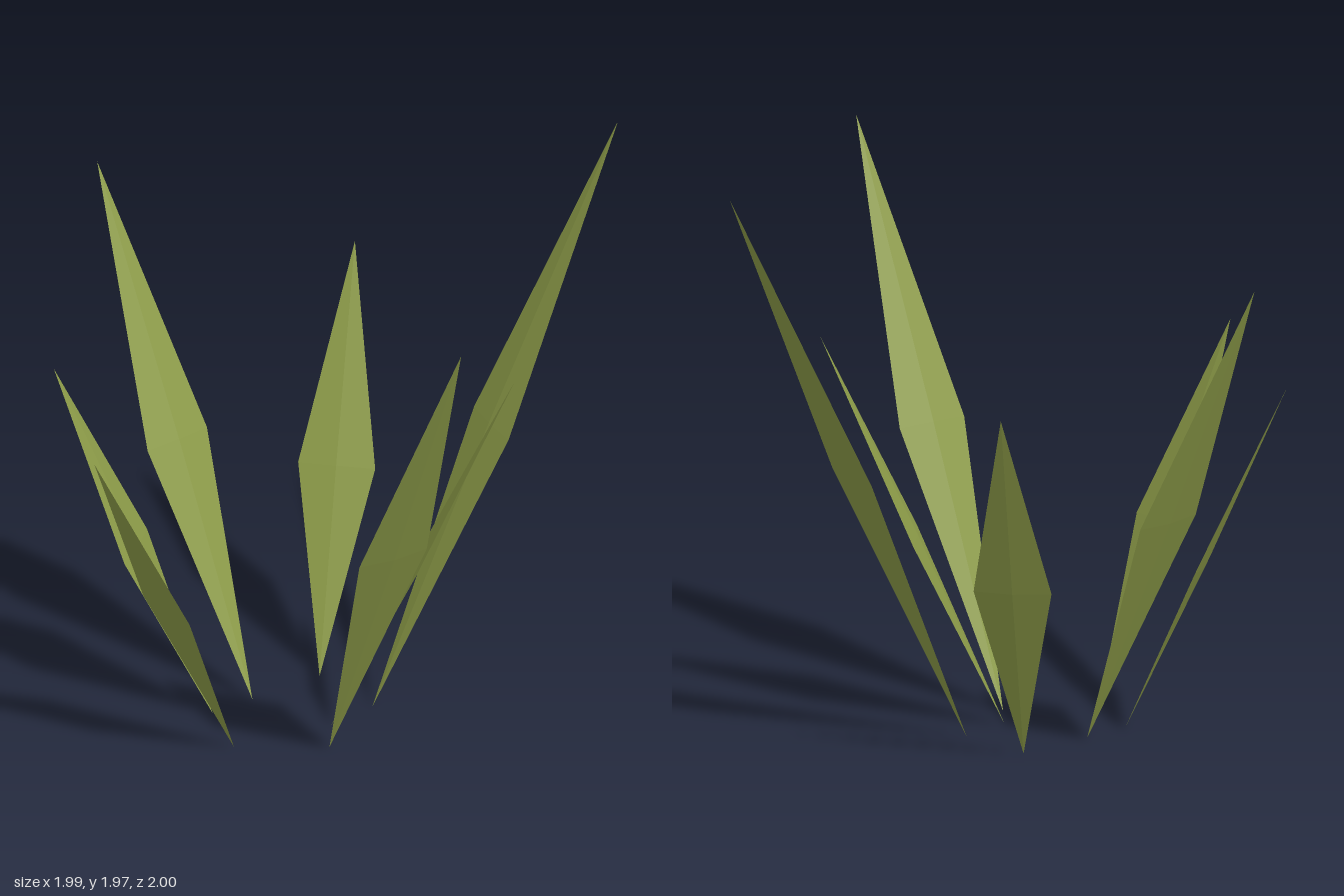
import * as THREE from 'three';

// Unit blade: flat lozenge from y = 0 to y = 1, widest just below the middle
function bladeGeometry(width, thickness, widest) {
  const geo = new THREE.OctahedronGeometry(1, 0);
  const p = geo.attributes.position;
  for (let i = 0; i < p.count; i++) {
    const y = p.getY(i);
    const h = y > 0.5 ? 1 : y < -0.5 ? 0 : widest;
    p.setXYZ(i, p.getX(i) * width / 2, h, p.getZ(i) * thickness / 2);
  }
  return geo;
}

export function createModel() {
  const group = new THREE.Group();
  group.name = 'grassTuft';
  const green = new THREE.MeshStandardMaterial({ color: 0x8c9b48, flatShading: true });
  green.name = 'leafGreen';

  // Root and tip of every blade
  const blades = [
    ['leftBlade', [0.09, 0, -0.03], [0.99, 1.97, -0.03]],
    ['rightBlade', [-0.44, 0, 0.02], [-1.0, 1.23, 0.12]],
    ['backRightBlade', [-0.4, 0, -0.22], [-0.8, 1.2, -0.59]],
    ['backBlade', [-0.24, 0, -0.25], [-0.44, 1.69, -1.0]],
    ['backLeftBlade', [0.03, 0, -0.3], [0.39, 1.31, -0.77]],
    ['frontLeftBlade', [-0.09, 0, 0.03], [0.42, 1.32, 0.36]],
    ['frontBlade', [-0.16, 0, 0.16], [-0.09, 1.84, 1.0]],
  ];
  const up = new THREE.Vector3(0, 1, 0);

  for (const [name, root, tip] of blades) {
    const base = new THREE.Vector3(...root);
    const axis = new THREE.Vector3(...tip).sub(base);
    const geo = bladeGeometry(0.258, 0.02, 0.484);
    geo.scale(1, axis.length(), 1);
    axis.normalize();
    // Each blade leans outward with its width held level
    const side = new THREE.Vector3().crossVectors(up, axis).normalize();
    const face = new THREE.Vector3().crossVectors(side, axis);
    geo.applyMatrix4(new THREE.Matrix4().makeBasis(side, axis, face).setPosition(base));
    geo.computeVertexNormals();
    const mesh = new THREE.Mesh(geo, green);
    mesh.name = name;
    group.add(mesh);
  }
  return group;
}
